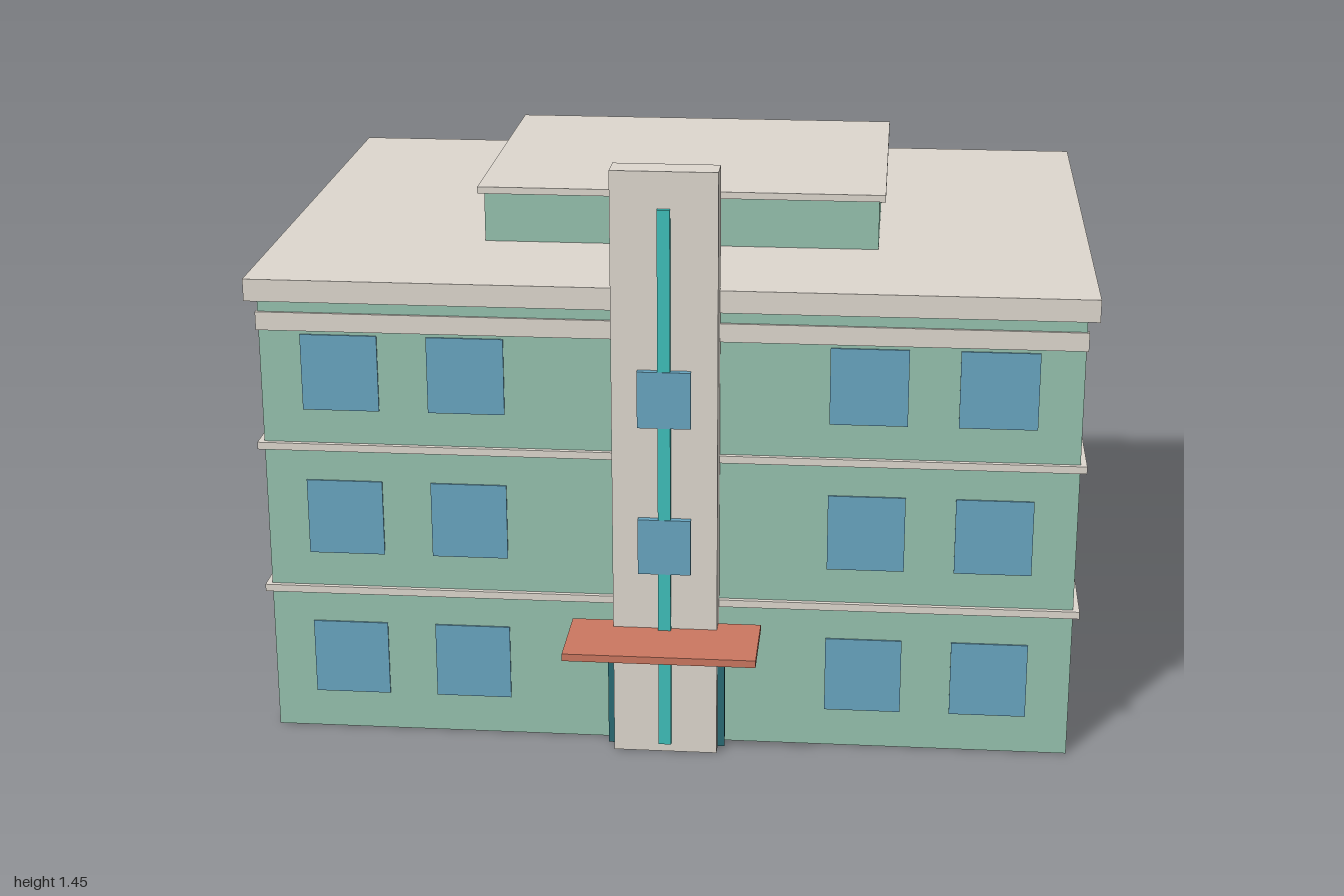
import * as THREE from 'three';

const paint = (color) => new THREE.MeshStandardMaterial({ color });

export function createModel() {
  const model = new THREE.Group();
  const wall = paint(0x96c1ae), stone = paint(0xddd7ce), glass = paint(0x68a5c0);
  const teal = paint(0x3fbfba), dark = paint(0x2a6b74), clay = paint(0xcb7760);

  // Box given by its extents along each axis
  const box = (name, material, [x0, x1], [y0, y1], [z0, z1]) => {
    const mesh = new THREE.Mesh(new THREE.BoxGeometry(x1 - x0, y1 - y0, z1 - z0), material);
    mesh.position.set((x0 + x1) / 2, (y0 + y1) / 2, (z0 + z1) / 2);
    mesh.name = name;
    model.add(mesh);
  };

  // Main block, floor bands and roof
  box('walls', wall, [-0.973, 0.973], [0, 1.11], [-0.81, 0.6]);
  for (const y of [0.371, 0.741]) {
    box('floorBand', stone, [-0.988, 0.988], [y - 0.009, y + 0.009], [-0.825, 0.612]);
  }
  box('frontCornice', stone, [-0.978, 0.978], [1.031, 1.076], [0.592, 0.606]);
  box('roofSlab', stone, [-1, 1], [1.106, 1.16], [-0.838, 0.62]);

  // Rooftop storey
  box('penthouse', wall, [-0.485, 0.485], [1.16, 1.285], [-0.538, 0.236]);
  box('penthouseRoof', stone, [-0.5, 0.5], [1.283, 1.3], [-0.555, 0.25]);

  // Front windows: four per floor
  for (const y of [0.19, 0.56, 0.928]) {
    for (const x of [-0.782, -0.48, 0.475, 0.778]) {
      box('frontWindow', glass, [x - 0.092, x + 0.092], [y - 0.094, y + 0.094], [0.59, 0.604]);
    }
  }

  // Side windows: two on each upper floor, both sides
  for (const side of [-1, 1]) {
    for (const y of [0.556, 0.923]) {
      for (const z of [0.127, -0.342]) {
        const x = side * 0.97;
        box('sideWindow', glass, [x - 0.008, x + 0.008], [y - 0.086, y + 0.086], [z - 0.076, z + 0.076]);
      }
    }
  }

  // Entrance tower with light strip and windows
  box('tower', stone, [-0.125, 0.125], [0, 1.453], [0.597, 0.671]);
  box('towerStrip', teal, [-0.015, 0.015], [0.025, 1.366], [0.668, 0.685]);
  for (const y of [0.542, 0.91]) {
    box('towerWindow', glass, [-0.063, 0.063], [y - 0.069, y + 0.069], [0.668, 0.687]);
  }

  // Entrance frame and canopy
  box('entranceFrame', dark, [-0.142, 0.142], [0.005, 0.29], [0.628, 0.643]);
  box('canopy', clay, [-0.228, 0.228], [0.309, 0.327], [0.632, 0.838]);

  return model;
}
